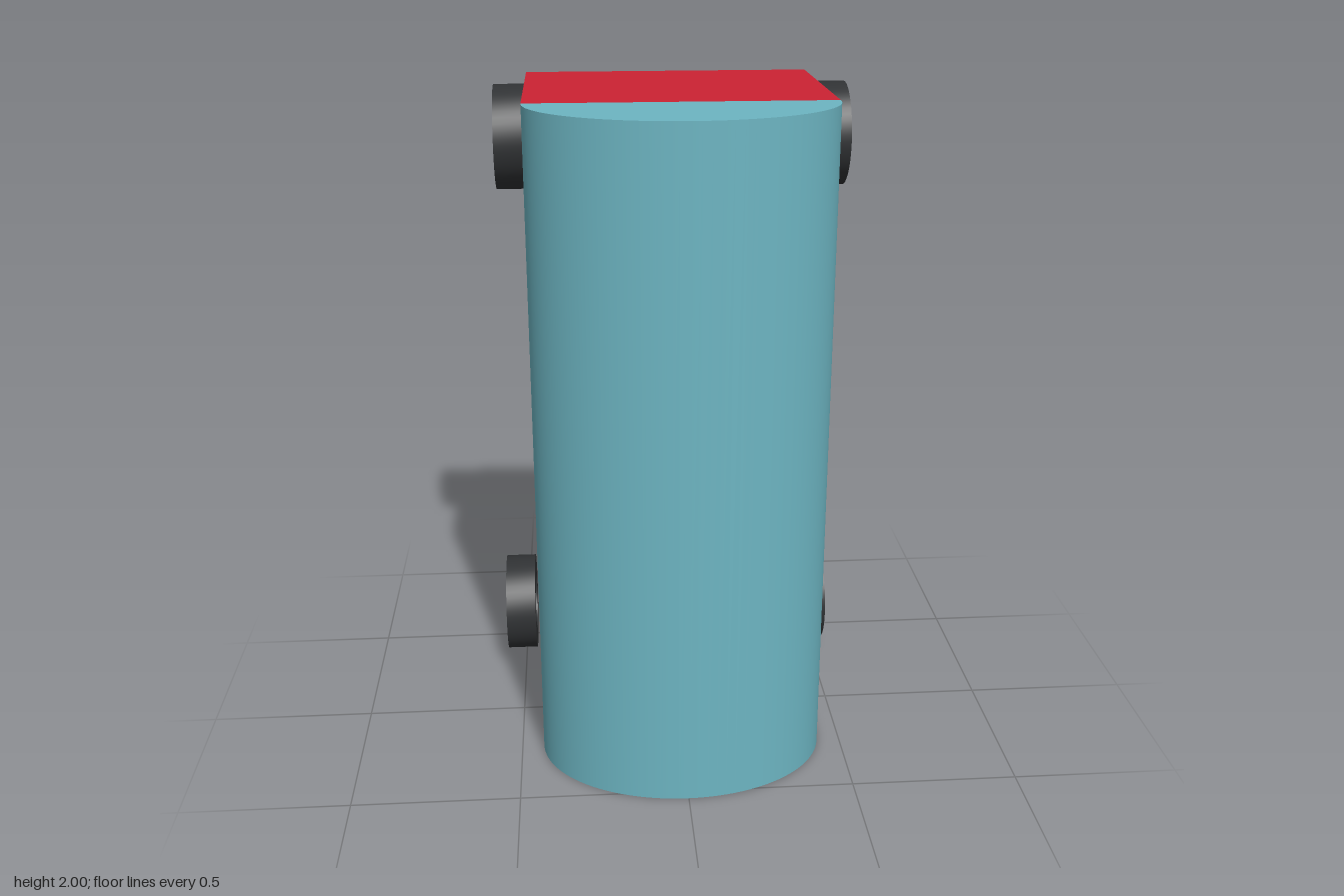
import * as THREE from 'three';
import { toCreasedNormals } from 'three/addons/utils/BufferGeometryUtils.js';

const paint = (color) => new THREE.MeshStandardMaterial({ color });

function rectPoints(z0, z1, y0, y1) {
  return [[z0, y0], [z1, y0], [z1, y1], [z0, y1]].map(([z, y]) => new THREE.Vector2(z, y));
}

// Extrudes a side profile (z, y) across the model, centred on x = 0
function extrudeAcross(shape, width, curveSegments = 12) {
  const geometry = new THREE.ExtrudeGeometry(shape, { depth: width, bevelEnabled: false, curveSegments });
  return geometry.translate(0, 0, -width / 2).rotateY(-Math.PI / 2);
}

export function createModel() {
  const model = new THREE.Group();
  const add = (name, geometry, material) => {
    const mesh = new THREE.Mesh(geometry, material);
    mesh.name = name;
    model.add(mesh);
    return mesh;
  };
  const halfWidth = 0.433, height = 2, seamZ = 0.215;

  // Box body with two square tunnels through its sides
  const side = new THREE.Shape(rectPoints(-0.427, seamZ, 0, height));
  for (const [y0, y1] of [[0.422, 0.73], [1.357, 1.667]]) {
    side.holes.push(new THREE.Path(rectPoints(-0.2, 0.095, y0, y1)));
  }
  add('body', extrudeAcross(side, halfWidth * 2), paint(0xcc2233));

  // Half-elliptical front
  const front = new THREE.CylinderGeometry(1, 1, height, 48, 1, false, -Math.PI / 2, Math.PI);
  front.scale(halfWidth, 1, 0.322).translate(0, height / 2, seamZ);
  add('roundedFront', front, paint(0x6db5c2));

  // Ring wheels, set at slightly different distances from the body
  const ring = new THREE.Shape().absarc(0, 0, 0.16, 0, Math.PI * 2);
  ring.holes.push(new THREE.Path().absarc(0, 0, 0.097, 0, Math.PI * 2, true));
  const wheel = toCreasedNormals(extrudeAcross(ring, 0.098, 24), 0.6);
  const rubber = paint(0x303234);
  const wheels = [
    ['upperRightWheel', -0.485, 1.81], ['upperLeftWheel', 0.504, 1.81],
    ['lowerRightWheel', -0.509, 0.196], ['lowerLeftWheel', 0.481, 0.196],
  ];
  for (const [name, x, y] of wheels) add(name, wheel, rubber).position.set(x, y, -0.38);

  return model;
}
